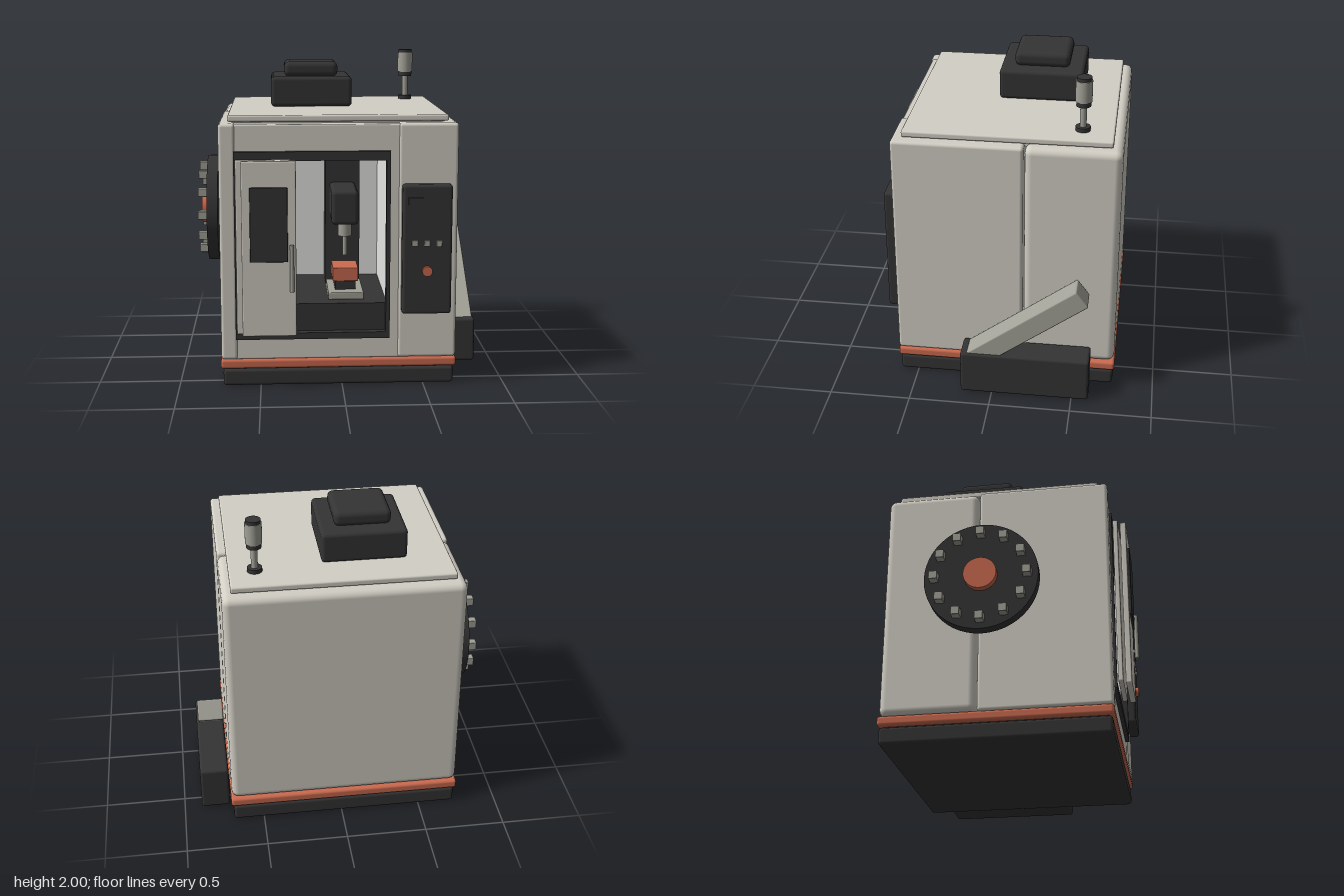
import * as THREE from 'three';
import { RoundedBoxGeometry } from 'three/addons/geometries/RoundedBoxGeometry.js';

const mat = (name, color) => {
  const m = new THREE.MeshStandardMaterial({ color });
  m.name = name;
  return m;
};

export function createModel() {
  const shell = mat('warm grey shell', 0xd3cfc5);
  const liner = mat('white liner', 0xf6f6f4);
  const dark = mat('charcoal', 0x343434);
  const steel = mat('steel grey', 0xa3a298);
  const accent = mat('orange accent', 0xcc6b50);

  const root = new THREE.Group();
  root.name = 'millingMachine';

  const add = (name, geometry, material, x, y, z, parent = root) => {
    const mesh = new THREE.Mesh(geometry, material);
    mesh.name = name;
    mesh.position.set(x, y, z);
    parent.add(mesh);
    return mesh;
  };
  // Box given by its [min, max] ranges, with an optional edge radius
  const box = (name, material, [x0, x1], [y0, y1], [z0, z1], r = 0, parent = root) => {
    const size = [x1 - x0, y1 - y0, z1 - z0];
    const g = r ? new RoundedBoxGeometry(...size, 2, r) : new THREE.BoxGeometry(...size);
    return add(name, g, material, (x0 + x1) / 2, (y0 + y1) / 2, (z0 + z1) / 2, parent);
  };
  // Upright cylinder between two heights
  const rod = (name, material, r, x, [y0, y1], z, parent = root) =>
    add(name, new THREE.CylinderGeometry(r, r, y1 - y0, 24), material, x, (y0 + y1) / 2, z, parent);
  const group = (name) => {
    const g = new THREE.Group();
    g.name = name;
    root.add(g);
    return g;
  };

  // Plinth and trim band
  box('plinth', dark, [-0.73, 0.69], [0, 0.105], [-0.745, 0.61], 0.02);
  box('plinthNeck', dark, [-0.71, 0.67], [0.09, 0.13], [-0.72, 0.59]);
  box('trimBand', accent, [-0.745, 0.705], [0.11, 0.17], [-0.755, 0.62], 0.018);

  // Enclosure: solid rear half and hollow front half
  const body = group('enclosure');
  box('rearHousing', shell, [-0.74, 0.7], [0.17, 1.62], [-0.75, -0.175], 0.045, body);
  box('leftWall', shell, [-0.74, -0.64], [0.17, 1.62], [-0.17, 0.62], 0.02, body);
  box('rightCabinet', shell, [0.34, 0.7], [0.17, 1.62], [-0.17, 0.62], 0.02, body);
  box('header', shell, [-0.67, 0.37], [1.44, 1.615], [-0.165, 0.61], 0.01, body);
  box('sill', shell, [-0.67, 0.37], [0.17, 0.31], [-0.165, 0.61], 0.01, body);
  box('innerPost', shell, [0.28, 0.36], [0.28, 1.47], [-0.165, 0.61], 0, body);
  box('roofPanel', shell, [-0.685, 0.645], [1.625, 1.665], [-0.69, 0.56], 0.012, body);
  box('roofSeat', shell, [-0.66, 0.62], [1.6, 1.64], [-0.66, 0.53], 0, body);

  // Work chamber lining and chip tray
  const chamber = group('workChamber');
  box('backLiner', liner, [-0.64, 0.28], [0.3, 1.44], [-0.17, -0.16], 0, chamber);
  box('leftLiner', liner, [-0.645, -0.635], [0.3, 1.44], [-0.165, 0.6], 0, chamber);
  box('rightLiner', liner, [0.275, 0.285], [0.3, 1.44], [-0.165, 0.6], 0, chamber);
  box('ceilingLiner', liner, [-0.64, 0.28], [1.435, 1.445], [-0.165, 0.6], 0, chamber);
  box('chipTray', dark, [-0.635, 0.275], [0.31, 0.51], [-0.16, 0.585], 0, chamber);

  // Opening frame
  const frame = group('openingFrame');
  box('frameTop', dark, [-0.65, 0.29], [1.4, 1.455], [0.59, 0.635], 0, frame);
  box('frameBottom', dark, [-0.65, 0.29], [0.3, 0.34], [0.59, 0.635], 0, frame);
  box('frameLeft', dark, [-0.65, -0.63], [0.3, 1.455], [0.59, 0.635], 0, frame);
  box('frameRight', dark, [0.265, 0.29], [0.3, 1.455], [0.59, 0.635], 0, frame);

  // Sliding door leaves, window and handle
  const door = group('slidingDoor');
  box('rearLeaf', shell, [-0.64, -0.305], [0.345, 1.41], [0.64, 0.67], 0.008, door);
  box('frontLeaf', shell, [-0.605, -0.28], [0.345, 1.41], [0.682, 0.718], 0.008, door);
  box('doorWindow', dark, [-0.555, -0.33], [0.805, 1.255], [0.715, 0.732], 0.005, door);
  rod('doorHandle', steel, 0.013, -0.306, [0.625, 0.91], 0.738, door);
  for (const y of [0.67, 0.865]) box('handleMount', steel, [-0.313, -0.299], [y - 0.01, y + 0.01], [0.71, 0.74], 0, door);

  // Spindle column, head and tool
  const mill = group('spindleUnit');
  box('column', dark, [-0.08, 0.14], [0.5, 1.436], [-0.16, 0.08], 0, mill);
  box('spindleHead', dark, [-0.055, 0.112], [0.965, 1.18], [0.06, 0.43], 0.025, mill);
  rod('spindleNose', steel, 0.043, 0.03, [0.885, 0.97], 0.34, mill);
  rod('cutter', steel, 0.014, 0.03, [0.76, 0.89], 0.34, mill);

  // Table, vise and workpiece
  const table = group('workTable');
  box('tableTop', steel, [-0.08, 0.14], [0.51, 0.555], [0.14, 0.5], 0.006, table);
  box('vise', dark, [-0.035, 0.095], [0.55, 0.615], [0.23, 0.42], 0, table);
  box('workpiece', accent, [-0.05, 0.11], [0.61, 0.695], [0.22, 0.43], 0.005, table);

  // Control panel
  const panel = group('controlPanel');
  box('panelCase', dark, [0.36, 0.66], [0.46, 1.255], [0.6, 0.68], 0.018, panel);
  box('screen', dark, [0.393, 0.622], [1.01, 1.18], [0.678, 0.685], 0, panel);
  for (const x of [0.435, 0.508, 0.581])
    box('panelButton', steel, [x - 0.018, x + 0.018], [0.882, 0.918], [0.675, 0.69], 0.004, panel);
  add('stopButton', new THREE.CylinderGeometry(0.031, 0.031, 0.03, 24), accent, 0.51, 0.73, 0.685, panel).rotation.x = Math.PI / 2;

  // Roof extractor
  const vent = group('roofExtractor');
  box('extractorBase', dark, [-0.425, 0.092], [1.665, 1.855], [-0.47, 0.05], 0.025, vent);
  box('extractorCap', dark, [-0.34, 0.005], [1.85, 1.945], [-0.38, -0.035], 0.035, vent);

  // Signal beacon
  const beacon = group('signalBeacon');
  rod('beaconFoot', dark, 0.045, 0.49, [1.66, 1.69], -0.5, beacon);
  rod('beaconPole', steel, 0.02, 0.49, [1.68, 1.83], -0.5, beacon);
  rod('beaconCollar', dark, 0.044, 0.49, [1.82, 1.855], -0.5, beacon);
  rod('beaconLamp', steel, 0.05, 0.49, [1.85, 1.98], -0.5, beacon);
  rod('beaconCap', dark, 0.045, 0.49, [1.975, 2], -0.5, beacon);

  // Tool wheel on the side, with twelve holders
  const wheel = group('toolWheel');
  wheel.position.set(0, 0.985, -0.137);
  const disc = (name, m, r, x0, x1) =>
    add(name, new THREE.CylinderGeometry(r, r, x1 - x0, 48), m, (x0 + x1) / 2, 0, 0, wheel).rotation.z = Math.PI / 2;
  disc('wheelDisc', dark, 0.345, -0.84, -0.77);
  disc('wheelHub', accent, 0.1, -0.883, -0.83);
  disc('wheelShaft', dark, 0.09, -0.78, -0.72);
  for (let i = 0; i < 12; i++) {
    const a = (i / 12) * Math.PI * 2;
    const y = Math.sin(a) * 0.28, z = Math.cos(a) * 0.28;
    box('toolHolder', steel, [-0.897, -0.83], [y - 0.026, y + 0.026], [z - 0.026, z + 0.026], 0.004, wheel);
  }

  // Chip conveyor with inclined chute
  const conveyor = group('chipConveyor');
  box('conveyorBin', dark, [0.71, 0.89], [0.005, 0.29], [-0.605, 0.195], 0.018, conveyor);
  const chute = box('conveyorChute', steel, [0.722, 0.878], [0.415, 0.545], [-0.63, 0.21], 0.01, conveyor);
  chute.position.set(0.8, 0.48, -0.212);
  chute.rotation.x = 0.637;

  return root;
}
